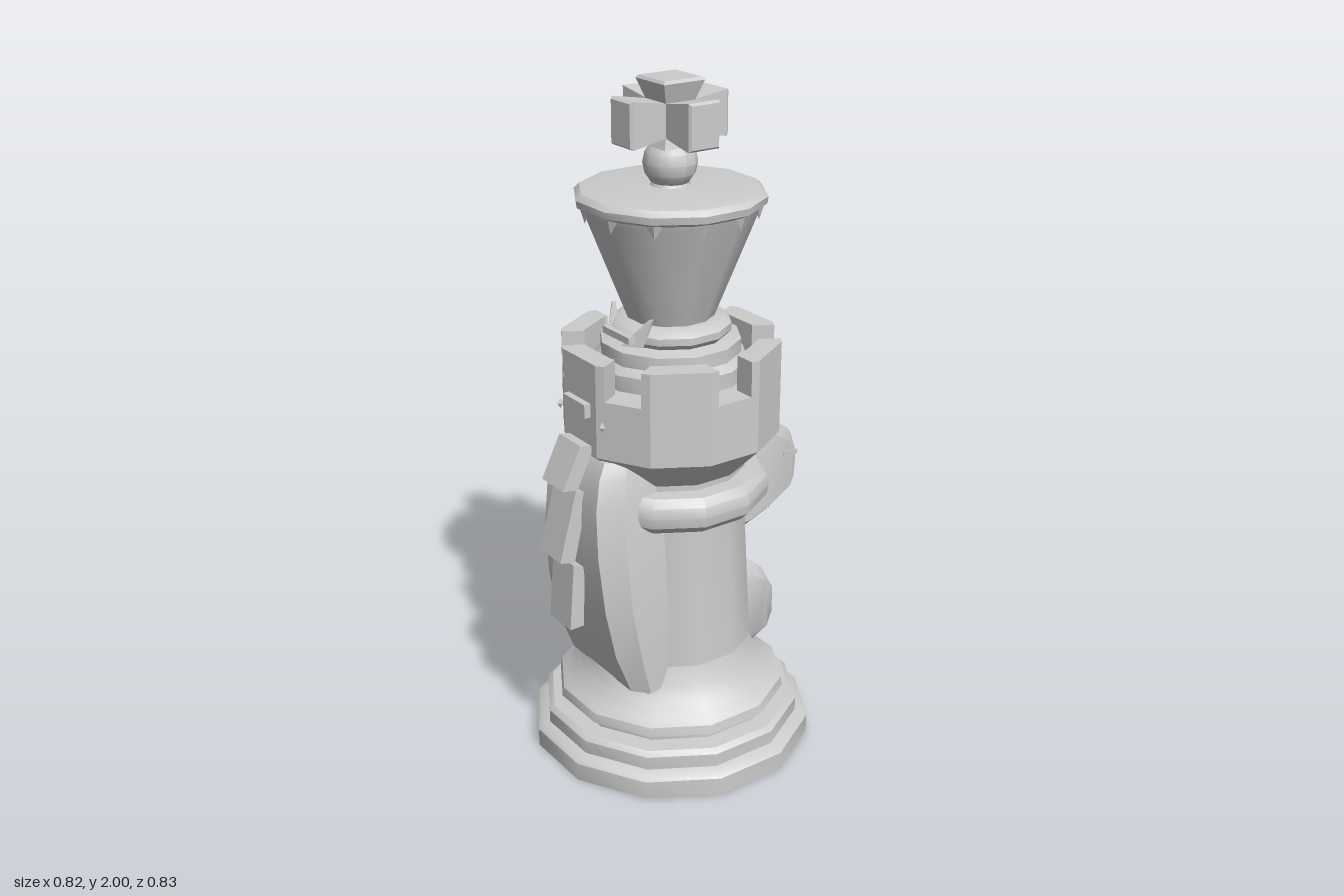
import * as THREE from 'three';
import { toCreasedNormals } from 'three/addons/utils/BufferGeometryUtils.js';

const K = 1 / Math.cos(Math.PI / 12); // flat-to-corner ratio of a twelve-sided ring

export function createModel() {
  const model = new THREE.Group();
  const stone = new THREE.MeshStandardMaterial({ color: 0xcccccc });

  const add = (name, geo, crease = 0.6, parent = model) => {
    const mesh = new THREE.Mesh(toCreasedNormals(geo, crease), stone);
    mesh.name = name;
    parent.add(mesh);
    return mesh;
  };

  // Twelve-sided turned part; radii are measured to the flats
  const turned = (profile) => new THREE.LatheGeometry(
    profile.map(([r, y]) => new THREE.Vector2(r * K, y)), 12, Math.PI / 12);

  // Closed skin over equal-length rings of points
  const loft = (rings) => {
    const n = rings[0].length, pos = rings.flat(2), idx = [];
    for (let i = 0; i < rings.length - 1; i++)
      for (let j = 0; j < n; j++) {
        const a = i * n + j, b = i * n + (j + 1) % n;
        idx.push(a, b, b + n, a, b + n, a + n);
      }
    const e = (rings.length - 1) * n;
    for (let j = 1; j < n - 1; j++) idx.push(0, j + 1, j, e, e + j, e + j + 1);
    // Turn the faces outward whichever way the rings run
    const p = (i) => new THREE.Vector3(...pos.slice(i * 3, i * 3 + 3));
    let volume = 0;
    for (let i = 0; i < idx.length; i += 3)
      volume += p(idx[i]).dot(p(idx[i + 1]).cross(p(idx[i + 2])));
    if (volume < 0) idx.reverse();
    const geo = new THREE.BufferGeometry();
    geo.setAttribute('position', new THREE.Float32BufferAttribute(pos, 3));
    geo.setIndex(idx);
    return geo;
  };

  // Side outline in (z, y), extruded evenly about x = 0
  const sidePlate = (outline, width) => new THREE.ExtrudeGeometry(
    new THREE.Shape(outline.map(([z, y]) => new THREE.Vector2(z, y))),
    { depth: width, bevelEnabled: false }).rotateY(-Math.PI / 2).translate(width / 2, 0, 0);

  // Stepped foot and column
  add('base', turned([[0, 0], [0.41, 0], [0.41, 0.055], [0.4, 0.065], [0.375, 0.075], [0.375, 0.115],
    [0.36, 0.128], [0.31, 0.132], [0.31, 0.155], [0.335, 0.158], [0.33, 0.185], [0.31, 0.2],
    [0.275, 0.235], [0.25, 0.28], [0.235, 0.33], [0, 0.33]]));
  add('column', turned([[0.235, 0.33], [0.228, 0.45], [0.215, 0.7], [0.21, 0.92]]));
  add('collar', turned([[0.2, 0.765], [0.25, 0.775], [0.275, 0.8], [0.28, 0.83], [0.275, 0.86],
    [0.255, 0.882], [0.2, 0.885]]));

  // Castle tower with six battlements
  add('tower', turned([[0, 0.9], [0.21, 0.9], [0.225, 0.915], [0.305, 1.0], [0.305, 1.17], [0, 1.17]]), 0.3);
  const plan = (a, r, t) => new THREE.Vector2(Math.sin(a) * r - Math.cos(a) * t, Math.cos(a) * r + Math.sin(a) * t);
  const half = [plan(Math.PI / 6, 0.24, 0.055), plan(Math.PI / 6, 0.305, 0.055), plan(Math.PI / 12, 0.305 * K, 0)];
  const innerCorner = plan(Math.PI / 12, 0.24 * K, 0);
  const mirror = (v) => new THREE.Vector2(-v.x, v.y);
  const merlonShape = new THREE.Shape([innerCorner, ...half, ...[...half].reverse().map(mirror), mirror(innerCorner)]);
  const merlonGeo = new THREE.ExtrudeGeometry(merlonShape, { depth: 0.104, bevelEnabled: false })
    .rotateX(-Math.PI / 2).translate(0, 1.168, 0);
  for (let i = 0; i < 6; i++) add('battlement', merlonGeo, 0.3).rotation.y = i * Math.PI / 3;

  // Arrow slit on the back of the tower, with raised jambs
  for (const s of [-1, 1])
    add('arrowSlitJamb', new THREE.BoxGeometry(0.008, 0.11, 0.012).translate(s * 0.018, 1.08, -0.306));

  // Face on the front of the tower
  add('mouth', new THREE.BoxGeometry(0.11, 0.04, 0.03).translate(0, 1.133, 0.31));
  for (const s of [-1, 1])
    add('eye', new THREE.OctahedronGeometry(0.016).scale(0.6, 1, 0.6).translate(s * 0.108, 1.1, s ? 0.272 + 0.03 : 0));

  // Stepped neck and flared crown
  add('neck', turned([[0.215, 1.16], [0.215, 1.215], [0.195, 1.235], [0.195, 1.275], [0.155, 1.285],
    [0.168, 1.3], [0.168, 1.32], [0.15, 1.335], [0.12, 1.34], [0, 1.34]]));
  add('crown', turned([[0.118, 1.33], [0.125, 1.35], [0.235, 1.64], [0.24, 1.655], [0.257, 1.665],
    [0.26, 1.685], [0.245, 1.7], [0.2, 1.706], [0, 1.708]]));
  for (let i = 0; i < 12; i++) {
    const point = add('crownPoint', new THREE.ConeGeometry(0.028, 0.045, 4).rotateX(Math.PI)
      .scale(1, 1, 0.5).translate(0, 1.642, 0.236 * K), 0.3);
    point.rotation.y = (i + 0.5) * Math.PI / 6;
  }
  // Diamond on the back of the crown
  const diamond = add('crownDiamond', new THREE.CylinderGeometry(0.028, 0.028, 0.012, 4)
    .rotateX(Math.PI / 2).scale(0.8, 1.35, 1), 0.3);
  diamond.position.set(0, 1.5, -0.184);
  diamond.rotation.x = -0.36;

  // Small coronet at the front of the neck
  for (const s of [-1, 1])
    add('coronetHorn', loft([
      [[s * 0.035, 1.29, 0.19], [s * 0.085, 1.29, 0.15], [s * 0.06, 1.29, 0.13]],
      [[s * 0.09, 1.37, 0.135], [s * 0.1, 1.37, 0.13], [s * 0.095, 1.37, 0.12]]]), 0.3);
  add('coronetBar', new THREE.BoxGeometry(0.13, 0.02, 0.03).translate(0, 1.31, 0.17));

  // Ball and flared cross finial
  add('finialStem', new THREE.CylinderGeometry(0.045, 0.06, 0.03, 12).translate(0, 1.715, 0));
  add('finialBall', new THREE.SphereGeometry(0.076, 12, 8).translate(0, 1.77, 0));
  const cross = new THREE.Group();
  cross.name = 'cross';
  cross.position.y = 1.892;
  model.add(cross);
  const rect = (y, a, b) => [[-a, y, -b], [a, y, -b], [a, y, b], [-a, y, b]];
  add('crossHub', new THREE.BoxGeometry(0.09, 0.1, 0.09), 0.3, cross);
  const sideArm = loft([rect(0.02, 0.042, 0.045), rect(0.152, 0.064, 0.05), rect(0.16, 0.058, 0.044)]).rotateZ(-Math.PI / 2);
  for (let i = 0; i < 4; i++) add('crossArm', sideArm, 0.3, cross).rotation.y = i * Math.PI / 2;
  add('crossTop', loft([rect(0.03, 0.042, 0.042), rect(0.1, 0.066, 0.066), rect(0.108, 0.06, 0.06)]), 0.3, cross);
  add('crossFoot', loft([rect(-0.075, 0.06, 0.06), rect(-0.03, 0.042, 0.042)]), 0.3, cross);

  // Curved robe panel on the front: [y, half width, front z, side z]
  add('robe', loft([[0.25, 0.17, 0.225, 0.2], [0.27, 0.2, 0.25, 0.21], [0.4, 0.2, 0.3, 0.24], [0.55, 0.195, 0.33, 0.265],
    [0.72, 0.183, 0.345, 0.275], [0.86, 0.165, 0.34, 0.27], [0.95, 0.15, 0.32, 0.255], [0.99, 0.135, 0.295, 0.24]]
    .map(([y, w, front, side]) => [[-w * 0.95, y, 0.14], [-w, y, side], [-w * 0.78, y, front],
      [w * 0.78, y, front], [w, y, side], [w * 0.95, y, 0.14]])), 0.5);

  // Hanging tongue in three overlapping plates
  for (const outline of [
    [[0.34, 1.035], [0.295, 1.025], [0.352, 0.905], [0.4, 0.912]],
    [[0.358, 0.905], [0.318, 0.888], [0.368, 0.682], [0.415, 0.695]],
    [[0.372, 0.675], [0.335, 0.66], [0.343, 0.472], [0.388, 0.472]]])
    add('tongueSegment', sidePlate(outline, 0.11), 0.3);

  // Horse head on the back: [z, low y, high y, half width]
  const chamfered = ([z, lo, hi, w], c = 0.03) => [[-w, lo + c, z], [-w + c, lo, z], [w - c, lo, z], [w, lo + c, z],
    [w, hi - 2 * c, z], [w - c, hi, z], [-w + c, hi, z], [-w, hi - 2 * c, z]];
  add('horseHead', loft([[-0.14, 0.63, 1.0, 0.085], [-0.22, 0.645, 1.0, 0.1], [-0.3, 0.675, 0.97, 0.1],
    [-0.385, 0.71, 0.915, 0.085], [-0.405, 0.735, 0.89, 0.077], [-0.415, 0.785, 0.87, 0.07]].map((s) => chamfered(s, 0.02))), 0.5);
  for (const s of [-1, 1]) {
    const brow = add('horseBrow', new THREE.BoxGeometry(0.012, 0.014, 0.06));
    brow.position.set(s * 0.083, 0.842, -0.38);
    brow.rotation.set(-0.15, s * 0.15, 0);
  }

  // Rounded lump low on the back with a dipped top: [z, low y, high y, half width]
  add('backLump', loft([[-0.14, 0.26, 0.56, 0.14], [-0.21, 0.26, 0.545, 0.15], [-0.26, 0.28, 0.5, 0.145],
    [-0.29, 0.33, 0.45, 0.13], [-0.302, 0.36, 0.42, 0.1]].map(([z, lo, hi, w]) => {
    const c = (hi - lo) * 0.15;
    return [[-w, lo + c, z], [-w * 0.8, lo, z], [w * 0.8, lo, z], [w, lo + c, z], [w, hi - c, z], [w * 0.8, hi, z],
      [w * 0.4, hi - c, z], [-w * 0.4, hi - c, z], [-w * 0.8, hi, z], [-w, hi - c, z]];
  })), 0.7);

  return model;
}
